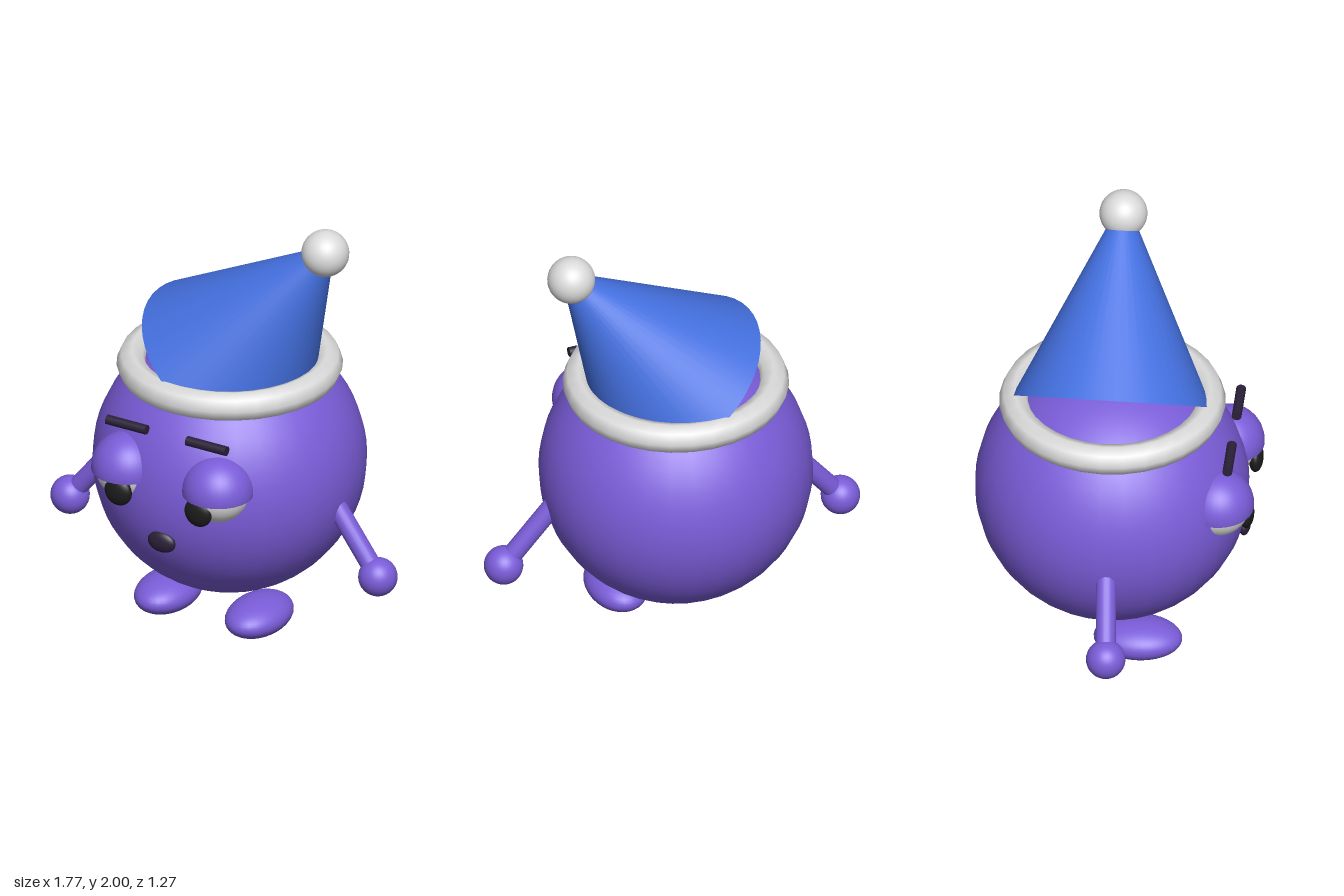
import * as THREE from 'three';

const material = (name, color, side = THREE.FrontSide) => {
  const m = new THREE.MeshStandardMaterial({ color, side });
  m.name = name;
  return m;
};

export function createModel() {
  const purple = material('purple skin', 0x7a5cd8, THREE.DoubleSide);
  const blue = material('blue felt', 0x4470e0, THREE.DoubleSide);
  const white = material('white', 0xdcdcdc);
  const black = material('black', 0x1c1c1c);
  const dark = material('dark purple', 0x2a2038);

  const model = new THREE.Group();
  model.name = 'hatCreature';

  const add = (name, geometry, mat, x, y, z) => {
    const mesh = new THREE.Mesh(geometry, mat);
    mesh.name = name;
    mesh.position.set(x, y, z);
    model.add(mesh);
    return mesh;
  };
  const ball = (name, mat, x, y, z, rx, ry = rx, rz = rx) => {
    const mesh = add(name, new THREE.SphereGeometry(1, 32, 24), mat, x, y, z);
    mesh.scale.set(rx, ry, rz);
    return mesh;
  };

  // Round body and mouth
  add('body', new THREE.SphereGeometry(0.612, 32, 32), purple, 0, 0.758, -0.02);
  ball('mouth', dark, 0, 0.583, 0.572, 0.07, 0.05, 0.028);

  for (const [side, s] of [['left', 1], ['right', -1]]) {
    // Eye with a half-closed lid and brow
    ball(side + 'Eye', white, s * 0.235, 0.86, 0.475, 0.145);
    ball(side + 'Pupil', black, s * 0.207, 0.795, 0.602, 0.068, 0.068, 0.033);
    add(side + 'Eyelid',
      new THREE.SphereGeometry(0.162, 32, 16, 0, Math.PI * 2, 0, Math.PI * 0.53),
      purple, s * 0.235, 0.86, 0.475);
    add(side + 'Brow', new THREE.CylinderGeometry(0.022, 0.022, 0.205, 16),
      dark, s * 0.207, 1.093, 0.525).rotation.z = Math.PI / 2;

    // Arm from inside the body to the hand
    const hand = new THREE.Vector3(s * 0.797, 0.38, 0.03);
    const shoulder = new THREE.Vector3(s * 0.53, 0.715, 0.005);
    const dir = shoulder.clone().sub(hand);
    const mid = shoulder.clone().add(hand).multiplyScalar(0.5);
    add(side + 'Arm', new THREE.CylinderGeometry(0.045, 0.045, dir.length(), 20),
      purple, mid.x, mid.y, mid.z)
      .quaternion.setFromUnitVectors(new THREE.Vector3(0, 1, 0), dir.normalize());
    ball(side + 'Hand', purple, hand.x, hand.y, hand.z, 0.088);

    // Oval foot
    ball(side + 'Foot', purple, s * 0.235, 0.088, 0.118, 0.135, 0.085, 0.198);
  }

  // Hat: brim ring, tilted open cone and pompom
  add('hatBrim', new THREE.TorusGeometry(0.437, 0.068, 8, 32), white, 0, 1.222, -0.02)
    .rotation.x = Math.PI / 2;
  const tilt = -0.658, height = 0.92;
  add('hatCone', new THREE.ConeGeometry(0.445, height, 48, 1, true), blue,
    -0.015 - Math.sin(tilt) * height / 2, 1.225 + Math.cos(tilt) * height / 2, -0.02)
    .rotation.z = tilt;
  ball('pompom', white, 0.495, 1.893, -0.02, 0.107);

  return model;
}
